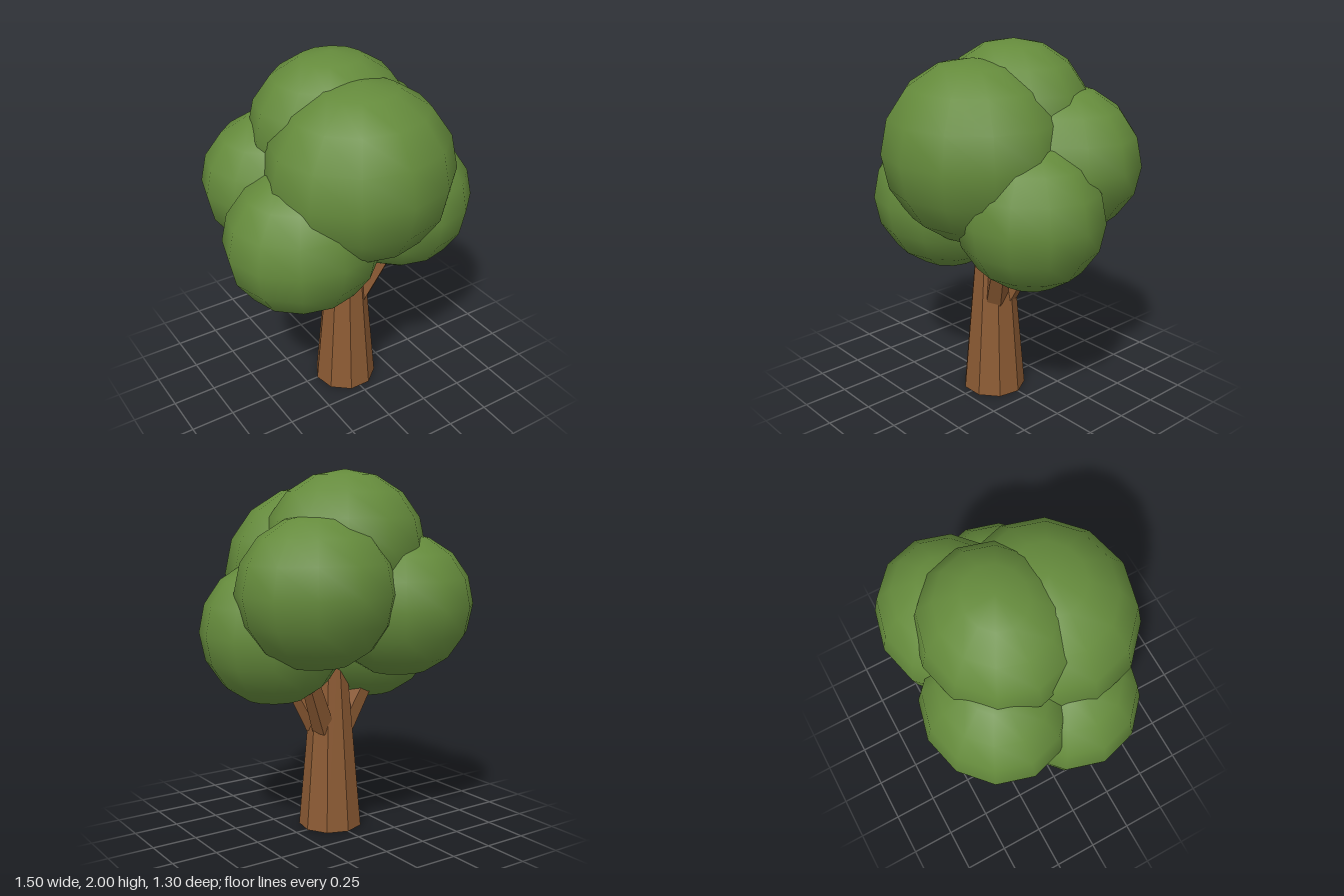
import * as THREE from 'three';

export function createModel() {
  const tree = new THREE.Group();
  tree.name = 'tree';
  const bark = new THREE.MeshStandardMaterial({ color: 0x8b5a33, flatShading: true });
  const leaf = new THREE.MeshStandardMaterial({ color: 0x658b3c });

  const add = (name, geometry, material) => {
    const mesh = new THREE.Mesh(geometry, material);
    mesh.name = name;
    tree.add(mesh);
    return mesh;
  };

  // Tapered nine-sided trunk, flat side to the front
  const trunkHeight = 1.1, trunkZ = 0.03;
  const trunk = add('trunk', new THREE.CylinderGeometry(0.083, 0.18, trunkHeight, 9), bark);
  trunk.position.set(0, trunkHeight / 2, trunkZ);
  trunk.rotation.y = Math.PI;

  // Branches fan out of the trunk: heading in degrees from +x towards +z
  const branches = [['branchFrontLeft', 32], ['branchBackLeft', -28], ['branchRight', 195]];
  const length = 0.5, lean = THREE.MathUtils.degToRad(28);
  for (const [name, heading] of branches) {
    const a = THREE.MathUtils.degToRad(heading);
    const out = new THREE.Vector3(Math.cos(a), 0, Math.sin(a));
    const dir = out.clone().multiplyScalar(Math.sin(lean));
    dir.y = Math.cos(lean);
    const branch = add(name, new THREE.CylinderGeometry(0.045, 0.068, length, 5), bark);
    branch.position.set(0, 0.58, trunkZ).addScaledVector(out, 0.075).addScaledVector(dir, length / 2);
    branch.quaternion.setFromUnitVectors(new THREE.Vector3(0, 1, 0), dir);
  }

  // Overlapping foliage clumps: centre, then radii
  const clumps = [
    ['foliageFront', [0, 1.435, 0.17], [0.52, 0.49, 0.478]],
    ['foliageTop', [0, 1.59, -0.11], [0.45, 0.41, 0.41]],
    ['foliageLowerLeft', [0.335, 1.14, 0.07], [0.41, 0.4, 0.39]],
    ['foliageLowerRight', [-0.31, 1.11, 0.115], [0.44, 0.41, 0.4]],
    ['foliageBackLeft', [0.26, 1.37, -0.24], [0.44, 0.405, 0.395]],
    ['foliageBackRight', [-0.25, 1.28, -0.265], [0.425, 0.39, 0.385]],
  ];
  const ball = new THREE.SphereGeometry(1, 12, 8);
  for (const [name, centre, radii] of clumps) {
    const clump = add(name, ball, leaf);
    clump.position.set(...centre);
    clump.scale.set(...radii);
  }
  return tree;
}
